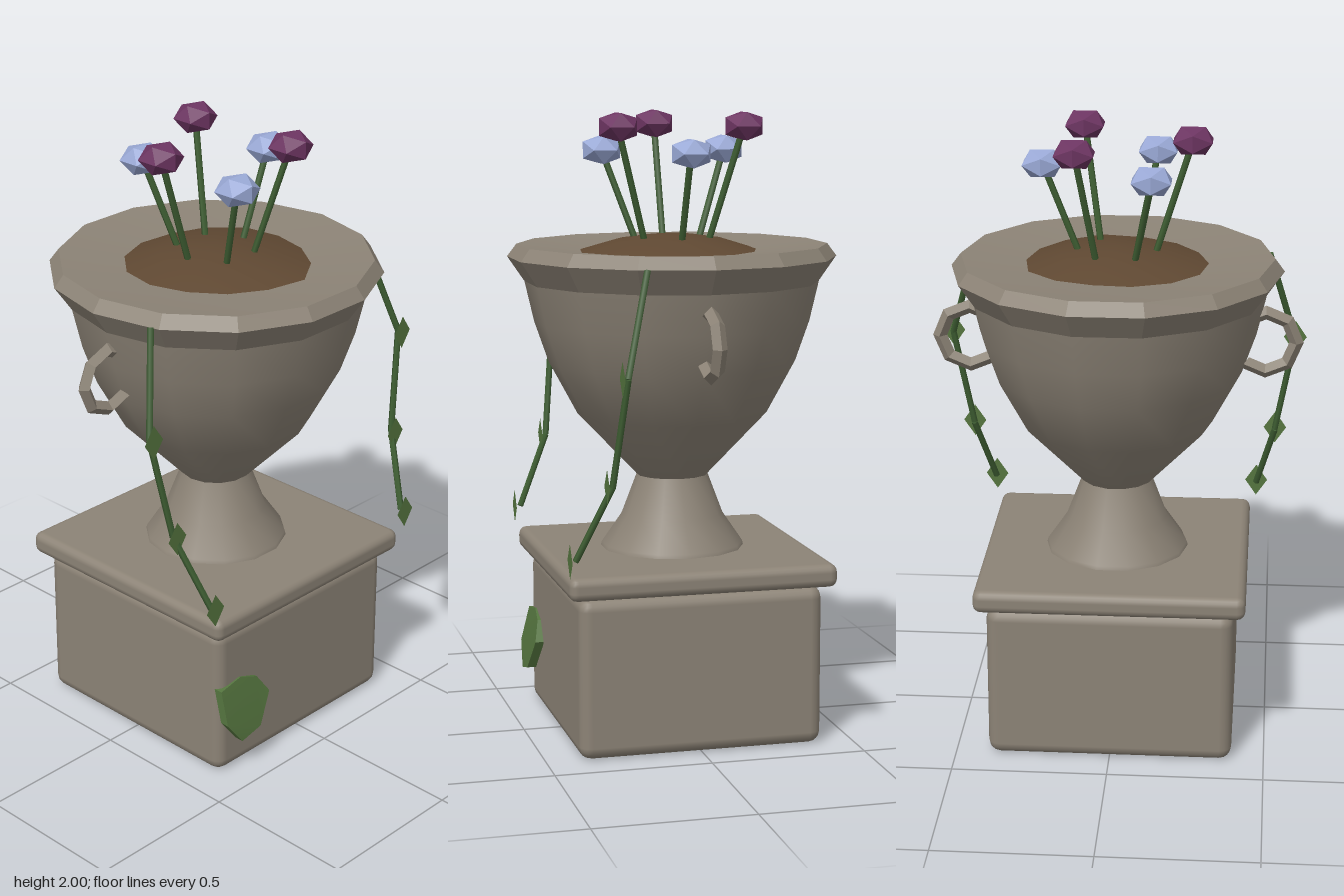
import * as THREE from 'three';
import { toCreasedNormals } from 'three/addons/utils/BufferGeometryUtils.js';
import { RoundedBoxGeometry } from 'three/addons/geometries/RoundedBoxGeometry.js';

const mat = (name, color, side = THREE.FrontSide) =>
  Object.assign(new THREE.MeshStandardMaterial({ color, side }), { name });

const V = (x, y, z) => new THREE.Vector3(x, y, z);

export function createModel() {
  const stone = mat('stone', 0x8c8376);
  const soil = mat('soil', 0x5f4832);
  const stemGreen = mat('stemGreen', 0x3f5f33);
  const leafGreen = mat('leafGreen', 0x55753f, THREE.DoubleSide);
  const purple = mat('purplePetals', 0x6d3562);
  const blue = mat('bluePetals', 0x9aa9d6);

  const model = new THREE.Group();
  model.name = 'flowerUrn';

  const add = (name, geometry, material, parent = model) => {
    const mesh = new THREE.Mesh(geometry, material);
    mesh.name = name;
    parent.add(mesh);
    return mesh;
  };
  const group = (name) => {
    const g = new THREE.Group();
    g.name = name;
    model.add(g);
    return g;
  };
  // Straight rod between two points
  const rod = (name, a, b, r, material, parent) => {
    const dir = b.clone().sub(a);
    const mesh = add(name, new THREE.CylinderGeometry(r, r, dir.length(), 5), material, parent);
    mesh.position.copy(a).add(b).multiplyScalar(0.5);
    mesh.quaternion.setFromUnitVectors(V(0, 1, 0), dir.normalize());
    return mesh;
  };
  // Fourteen-sided turned part with a corner on each side
  const turned = (points) => new THREE.LatheGeometry(
    points.map(([r, y]) => new THREE.Vector2(r, y)), 14, Math.PI / 2);

  // Pedestal
  add('plinth', new RoundedBoxGeometry(0.79, 0.515, 0.79, 2, 0.04), stone).position.y = 0.2575;
  add('plinthCap', new RoundedBoxGeometry(0.865, 0.075, 0.865, 2, 0.027), stone).position.y = 0.555;

  // Urn
  add('foot', turned([[0.235, 0.585], [0.23, 0.605], [0.165, 0.7], [0.116, 0.83]]), stone);
  add('bowl', turned([[0.116, 0.83], [0.308, 1.03], [0.4, 1.2], [0.445, 1.33], [0.475, 1.46]]), stone);
  add('rim', toCreasedNormals(
    turned([[0.475, 1.46], [0.53, 1.54], [0.5, 1.58], [0.25, 1.555], [0, 1.55]]), 0.3), stone);

  // Soil mound with an uneven edge
  const edge = [0.29, 0.3, 0.285, 0.27, 0.28, 0.29, 0.295, 0.29, 0.28, 0.285, 0.295, 0.32, 0.3, 0.29];
  const mound = turned([[1, 1.562], [0.62, 1.594], [0.3, 1.607], [0, 1.615]]);
  const mp = mound.attributes.position;
  for (let i = 0; i < mp.count; i++) {
    const r = edge[Math.floor(i / 4) % 14];
    mp.setX(i, mp.getX(i) * r);
    mp.setZ(i, mp.getZ(i) * r);
  }
  add('soil', toCreasedNormals(mound, 0.3), soil);

  // Handles: open rings sunk into the bowl
  for (const side of [1, -1]) {
    const ring = toCreasedNormals(new THREE.TorusGeometry(0.098, 0.023, 4, 6, Math.PI * 1.5), 0.3);
    ring.rotateZ(-Math.PI * 0.75);
    const handle = add(side > 0 ? 'leftHandle' : 'rightHandle', ring, stone);
    handle.position.set(0.475 * side, 1.305, 0);
    if (side < 0) handle.rotation.y = Math.PI;
  }

  // Six flowers in a ring, alternating colour and height
  const flowers = group('flowers');
  for (let i = 0; i < 6; i++) {
    const a = i * Math.PI / 3;
    const isPurple = i % 2 === 1;
    const c = Math.cos(a), s = Math.sin(a);
    const top = V(0.236 * c, isPurple ? 1.956 : 1.876, 0.236 * s);
    rod('flowerStem', V(0.115 * c, 1.57, 0.115 * s), top, 0.011, stemGreen, flowers);
    const head = add('flowerHead', new THREE.IcosahedronGeometry(0.072, 0), isPurple ? purple : blue, flowers);
    head.position.copy(top);
    head.scale.y = 0.72;
  }

  // Trailing vines with diamond leaves
  for (const side of [1, -1]) {
    const vine = group(side > 0 ? 'leftVine' : 'rightVine');
    const path = [[0.482, 1.54, 0.2], [0.572, 1.225, 0.282], [0.512, 0.89, 0.317], [0.452, 0.655, 0.42]]
      .map(([x, y, z]) => V(x * side, y, z));
    for (let i = 1; i < path.length; i++) {
      rod('vineStem', path[i - 1], path[i], 0.011, stemGreen, vine);
      const leaf = add('vineLeaf', new THREE.CircleGeometry(1, 4), leafGreen, vine);
      leaf.position.copy(path[i]).add(V(0, 0, 0.018));
      leaf.scale.set(0.038, 0.056, 1);
    }
  }

  // Moss patch on the plinth, leaning out toward its lower edge
  const outline = [[-0.39, 0.2], [-0.33, 0.12], [-0.245, 0.14], [-0.187, 0.24],
    [-0.23, 0.305], [-0.3, 0.33], [-0.39, 0.315]];
  const moss = new THREE.ExtrudeGeometry(
    new THREE.Shape(outline.map(([x, y]) => new THREE.Vector2(x, y))),
    { depth: 0.03, bevelEnabled: false });
  const p = moss.attributes.position;
  for (let i = 0; i < p.count; i++) {
    p.setZ(i, p.getZ(i) + 0.37 + Math.min(0.04, (0.33 - p.getY(i)) * 0.25));
  }
  add('mossPatch', toCreasedNormals(moss, 0.3), leafGreen);

  return model;
}
